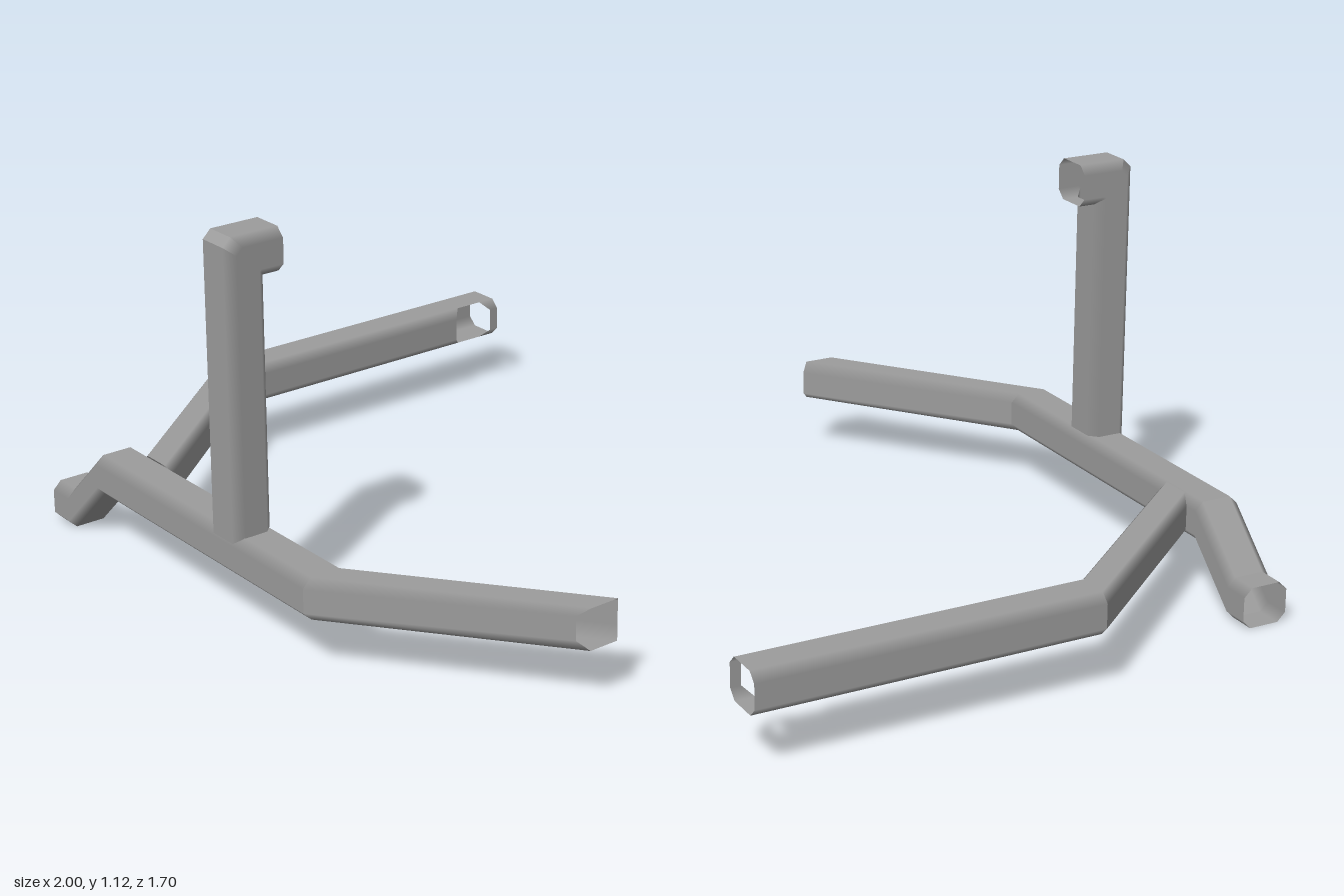
import * as THREE from 'three';

const V = (x, y, z) => new THREE.Vector3(x, y, z);
const CHAMFER = 0.025, HU = 0.07, HV = 0.06;
const KU = 1 - CHAMFER / HU, KV = 1 - CHAMFER / HV;
const OCT = [[1, -KV], [1, KV], [KU, 1], [-KU, 1], [-1, KV], [-1, -KV], [-KU, -1], [KU, -1]];

// Chamfered rectangular section around c; u and v are its half axes,
// offset(i) can push single corners along the tube.
function ring(c, u, v, offset) {
  return OCT.map(([a, b], i) => {
    const p = c.clone().addScaledVector(u, a).addScaledVector(v, b);
    return offset ? p.add(offset(i)) : p;
  });
}

// Hollow tube through a row of sections; skip(segment, side) leaves openings.
// Flat sides get flat normals, chamfers blend between their neighbours.
function tube(rings, skip = () => false) {
  const pos = [], nor = [];
  for (let s = 0; s < rings.length - 1; s++) {
    const A = rings[s], B = rings[s + 1];
    const faceNormal = (i) => {
      const j = (i + 1) % 8;
      const e = A[j].clone().sub(A[i]).add(B[j]).sub(B[i]);
      const d = B[i].clone().sub(A[i]).add(B[j]).sub(A[j]);
      return e.cross(d).normalize();
    };
    const flat = [0, 2, 4, 6].map(faceNormal);
    for (let i = 0; i < 8; i++) {
      if (skip(s, i)) continue;
      const j = (i + 1) % 8;
      for (const [r, k] of [[A, i], [A, j], [B, j], [A, i], [B, j], [B, i]]) {
        pos.push(...r[k].toArray());
        nor.push(...flat[k >> 1].toArray());
      }
    }
  }
  const g = new THREE.BufferGeometry();
  g.setAttribute('position', new THREE.Float32BufferAttribute(pos, 3));
  g.setAttribute('normal', new THREE.Float32BufferAttribute(nor, 3));
  return g;
}

const isCap = (i) => i === 2 || i === 3 || i === 6 || i === 7;

export function createModel() {
  const group = new THREE.Group();
  const steel = new THREE.MeshStandardMaterial({ color: 0x9c9c9c, side: THREE.DoubleSide });
  steel.name = 'grey steel';
  const add = (name, geometry) => {
    const m = new THREE.Mesh(geometry, steel);
    m.name = name;
    group.add(m);
  };
  const up = V(0, HV, 0), Y = 0.23, Z = 0.777;

  // Cross beam: low stub, ramp, straight run and swept-back arm
  const bu = V(0, 0, -HU);
  add('crossBeam', tube([
    ring(V(-0.835, 0.065, Z), bu, up),
    ring(V(-0.755, 0.065, Z), bu, up),
    ring(V(-0.585, Y, Z), bu, up),
    ring(V(0.42, Y, Z), bu, up),
    ring(V(0.972, Y, 0.33), bu, up, (i) => V(isCap(i) ? 0.028 : 0, 0, 0)),
  ]));

  // Long side arm with a socket opening in its inner wall near the end
  const au = V(-HU, 0, 0), ax = -0.93;
  const socket = (sign) => (i) =>
    V(0, 0, sign * (i === 4 || i === 5 ? 0.07 : i === 3 || i === 6 ? 0.045 : 0));
  add('sideArm', tube([
    ring(V(-0.473, Y, 0.707), au, up, (i) => V(isCap(i) ? 0.016 : 0, 0, isCap(i) ? 0.02 : 0)),
    ring(V(ax, Y, 0.155), au, up),
    ring(V(ax, Y, -0.75), au, up, socket(1)),
    ring(V(ax, Y, -0.75), au, up, socket(-1)),
    ring(V(ax, Y, -0.85), au, up),
  ], (s, i) => s === 2 && i >= 3 && i <= 5));

  // Upright post, turning back at the top into a short open stub
  const cu = V(HU, 0, 0), cx = 0.053;
  add('uprightPost', tube([
    ring(V(cx, 0.29, 0.785), cu, V(0, 0, -HV), (i) => V(0, i === 6 || i === 7 ? -0.018 : 0, 0)),
    ring(V(cx, 1.052, 0.785), cu, V(0, -0.049, -0.06)),
    ring(V(cx, 1.064, 0.773), cu, V(0, -0.061, -0.048)),
    ring(V(cx, 1.064, 0.675), cu, V(0, -0.061, 0)),
  ]));

  return group;
}
